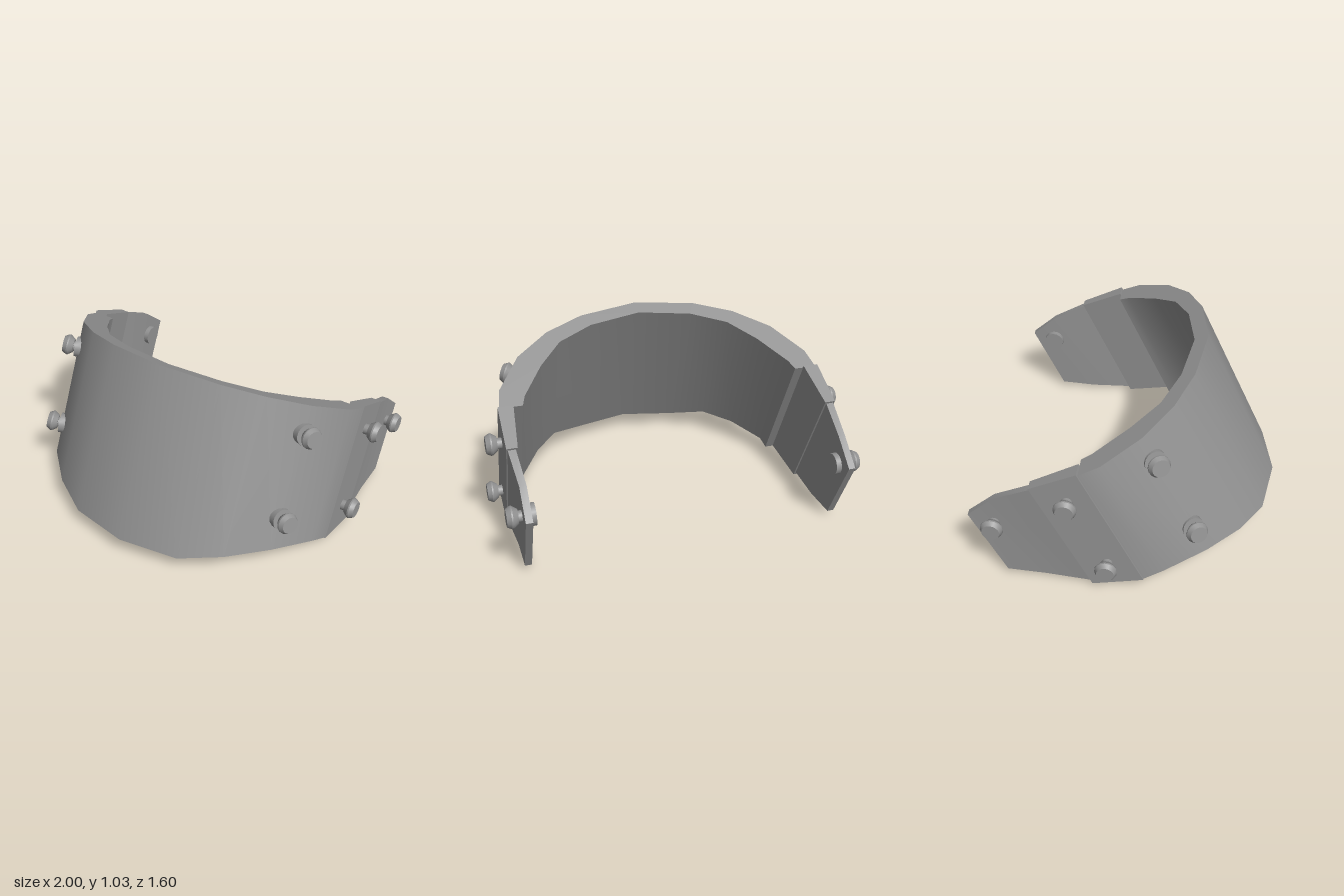
import * as THREE from 'three';
import { toCreasedNormals } from 'three/addons/utils/BufferGeometryUtils.js';

const material = new THREE.MeshStandardMaterial({ color: 0x929292 });

// Closed solid through four-cornered sections: outer top, inner top, inner bottom, outer bottom
function loft(sections) {
  const index = [];
  const last = (sections.length - 1) * 4;
  for (let i = 0; i < last; i += 4) {
    for (let k = 0; k < 4; k++) {
      const a = i + k, b = i + (k + 1) % 4;
      index.push(a, b, b + 4, a, b + 4, a + 4);
    }
  }
  index.push(0, 2, 1, 0, 3, 2, last, last + 1, last + 2, last, last + 2, last + 3);
  const g = new THREE.BufferGeometry();
  g.setAttribute('position', new THREE.Float32BufferAttribute(sections.flat(2), 3));
  g.setIndex(index);
  return toCreasedNormals(g, THREE.MathUtils.degToRad(33));
}

function part(name, geometry, parent) {
  const m = new THREE.Mesh(geometry, material);
  m.name = name;
  parent.add(m);
  return m;
}

const mirrorSections = (sections) =>
  sections.map((ring) => ring.map(([x, y, z]) => [-x, y, z])).reverse();

// Flat side piece from stations: z, outer x, inner x, top y, bottom y
function sidePiece(name, stations, parent) {
  const rings = stations.map(([z, xo, xi, top, bottom]) =>
    [[xo, top, z], [xi, top, z], [xi, bottom, z], [xo, bottom, z]]);
  part('left' + name, loft(rings), parent);
  part('right' + name, loft(mirrorSections(rings)), parent);
}

// Rivet pointing along +y, with a washer at its base and a flat-topped bevelled head
function makeRivet(washerBottom, washerTop, reach) {
  const profile = [
    [0, washerBottom], [0.06, washerBottom], [0.06, washerTop], [0.03, washerTop],
    [0.03, reach - 0.06], [0.04, reach - 0.06], [0.06, reach - 0.032],
    [0.06, reach - 0.024], [0.047, reach], [0, reach],
  ].map(([r, y]) => new THREE.Vector2(r, y));
  return toCreasedNormals(new THREE.LatheGeometry(profile, 16), 0.45);
}

export function createModel() {
  const model = new THREE.Group();
  model.name = 'curvedGuard';
  const tilted = new THREE.Group();
  tilted.name = 'tiltedBody';
  tilted.rotation.x = THREE.MathUtils.degToRad(-25);
  model.add(tilted);

  // Curved band, left half: outer x, z, bottom y, then inner x, z, bottom y
  const top = 0.775;
  const half = [
    [0.905, 0.129, 0.005, 0.78, 0.129, 0.005],
    [0.885, 0.251, 0.01, 0.76, 0.19, 0.02],
    [0.75, 0.466, -0.045, 0.636, 0.383, -0.025],
    [0.56, 0.62, -0.13, 0.5, 0.538, -0.09],
    [0.34, 0.718, -0.21, 0.3, 0.637, -0.19],
  ].map(([xo, zo, bo, xi, zi, bi]) =>
    [[xo, top, zo], [xi, top, zi], [xi, bi, zi], [xo, bo, zo]]);
  const middle = [[0, top, 0.775], [0, top, 0.692], [0, -0.205, 0.692], [0, -0.23, 0.775]];
  part('band', loft([...half, middle, ...mirrorSections(half)]), tilted);

  // Straps at the band ends and the end plates behind them
  sidePiece('Strap', [
    [-0.142, 0.914, 0.855, 0.788, 0.068],
    [0.13, 0.914, 0.83, 0.788, 0.006],
  ], tilted);
  sidePiece('EndPlate', [
    [-0.547, 0.887, 0.85, 0.719, 0.294],
    [-0.363, 0.887, 0.85, 0.77, 0.195],
    [-0.138, 0.907, 0.865, 0.775, 0.086],
  ], tilted);

  // Rivets: position on the left side and outward direction
  const strapRivet = makeRivet(-0.03, -0.01, 0.09);
  const plateRivet = makeRivet(-0.067, -0.02, 0.08);
  const bandRivet = makeRivet(-0.02, 0.018, 0.09);
  const rivets = [
    ['strapRivet', strapRivet, [0.91, 0.644, 0.003], [1, 0, 0]],
    ['strapRivet', strapRivet, [0.91, 0.186, 0.004], [1, 0, 0]],
    ['endPlateRivet', plateRivet, [0.887, 0.626, -0.442], [1, 0, 0]],
    ['bandRivet', bandRivet, [0.75, 0.62, 0.46], [0.88, 0, 0.48]],
    ['bandRivet', bandRivet, [0.75, 0.14, 0.46], [0.88, 0, 0.48]],
  ];
  const up = new THREE.Vector3(0, 1, 0);
  for (const side of [1, -1]) {
    for (const [name, geometry, [x, y, z], [dx, dy, dz]] of rivets) {
      const rivet = part(name, geometry, tilted);
      rivet.position.set(side * x, y, z);
      rivet.quaternion.setFromUnitVectors(up, new THREE.Vector3(side * dx, dy, dz).normalize());
    }
  }
  return model;
}
